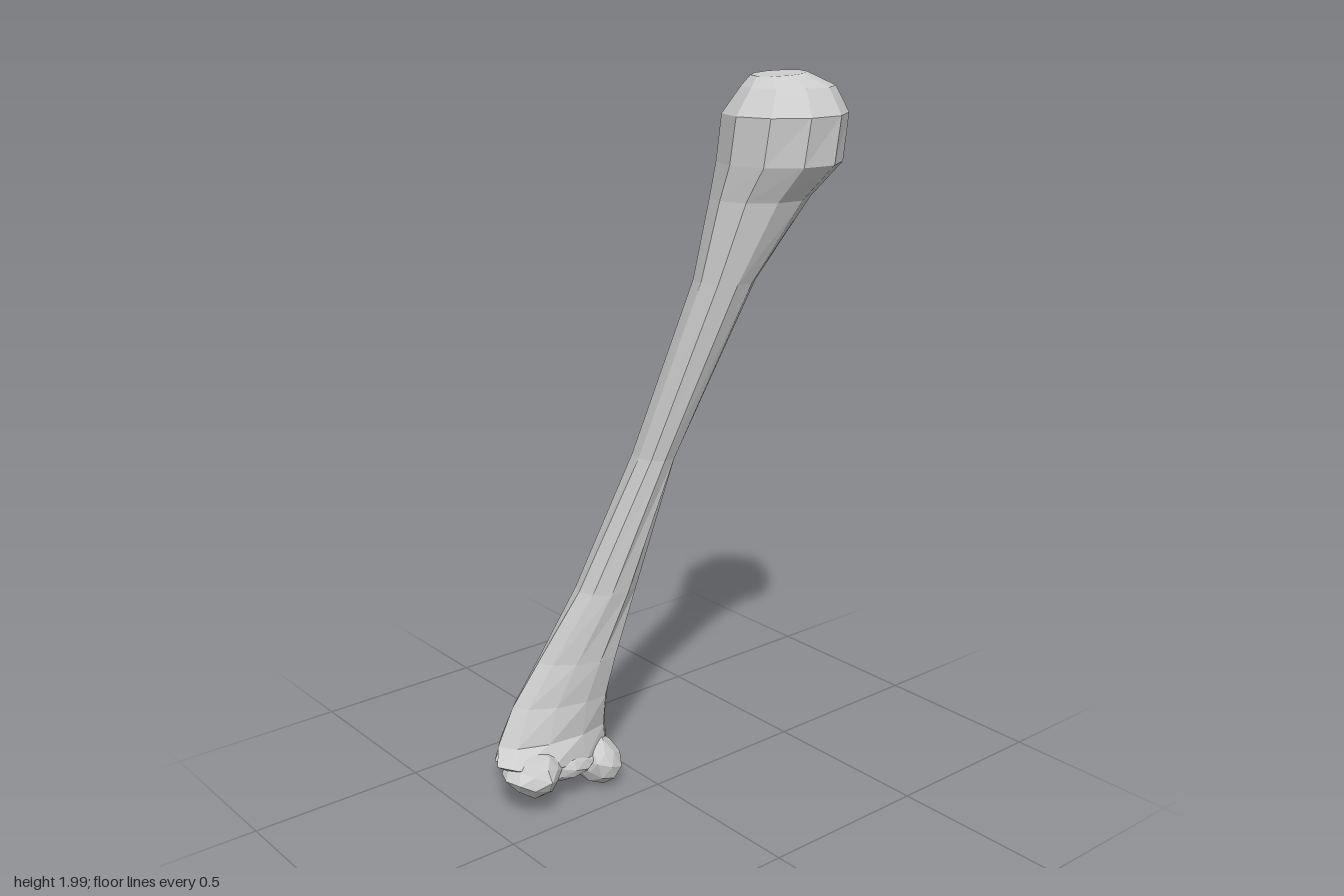
import * as THREE from 'three';
import { mergeVertices } from 'three/addons/utils/BufferGeometryUtils.js';

const SIDES = 10;
const material = new THREE.MeshStandardMaterial({ color: 0xcccccc, flatShading: true, side: THREE.DoubleSide });

// Skins a stack of skewed ellipses; each row is [y, xMin, xMax, zMin, zMax, skew in degrees, slope along x]
function loft(rows) {
  const pos = [], index = [];
  for (const [y, x0, x1, z0, z1, skew, slope] of rows) {
    for (let i = 0; i < SIDES; i++) {
      const t = (i / SIDES) * Math.PI * 2;
      const dx = Math.cos(t) * (x1 - x0) / 2;
      const dz = Math.cos(t - THREE.MathUtils.degToRad(skew)) * (z1 - z0) / 2;
      pos.push((x0 + x1) / 2 + dx, y + slope * dx, (z0 + z1) / 2 + dz);
    }
  }
  for (let r = 0; r < rows.length - 1; r++) {
    for (let i = 0; i < SIDES; i++) {
      const a = r * SIDES + i, b = r * SIDES + (i + 1) % SIDES;
      index.push(a, a + SIDES, b, b, a + SIDES, b + SIDES);
    }
  }
  // Close both ends with fans
  const last = (rows.length - 1) * SIDES;
  for (let i = 1; i < SIDES - 1; i++) {
    index.push(0, i, i + 1, last, last + i + 1, last + i);
  }
  const g = new THREE.BufferGeometry();
  g.setAttribute('position', new THREE.Float32BufferAttribute(pos, 3));
  g.setIndex(index);
  g.computeVertexNormals();
  return g;
}

// Irregular faceted lump filling a given size
function lump(size, seed, roughness) {
  let g = new THREE.IcosahedronGeometry(0.5, 1);
  g.deleteAttribute('normal');
  g.deleteAttribute('uv');
  g = mergeVertices(g, 1e-4);
  const p = g.attributes.position;
  for (let i = 0; i < p.count; i++) {
    seed = (seed * 16807) % 2147483647;
    const k = 1 + roughness * (seed / 2147483647 - 0.5);
    p.setXYZ(i, p.getX(i) * k * size[0], p.getY(i) * k * size[1], p.getZ(i) * k * size[2]);
  }
  g.computeVertexNormals();
  return g;
}

export function createModel() {
  const group = new THREE.Group();
  const add = (name, geometry, x = 0, y = 0, z = 0) => {
    const mesh = new THREE.Mesh(geometry, material);
    mesh.name = name;
    mesh.position.set(x, y, z);
    group.add(mesh);
    return mesh;
  };

  // Flared lower end, slanting shaft and rounded head in one skin
  add('boneShaftAndHead', loft([
    [0.09, -0.39, -0.07, -0.20, -0.09, 100, -0.22],
    [0.13, -0.455, -0.06, -0.225, -0.07, 100, -0.2],
    [0.20, -0.42, -0.08, -0.235, -0.09, 75, 0],
    [0.30, -0.365, -0.095, -0.215, -0.08, 55, 0],
    [0.42, -0.29, -0.08, -0.195, -0.06, 55, 0],
    [0.62, -0.185, -0.03, -0.165, -0.025, 75, 0],
    [1.00, -0.055, 0.06, -0.09, 0.05, 95, 0],
    [1.48, 0.045, 0.205, 0.035, 0.20, 90, 0],
    [1.69, 0.075, 0.33, 0.045, 0.28, 85, 0],
    [1.78, 0.08, 0.395, 0.045, 0.345, 85, 0],
    [1.90, 0.085, 0.42, 0.045, 0.35, 90, 0],
    [1.965, 0.14, 0.395, 0.08, 0.30, 90, 0],
    [1.995, 0.18, 0.33, 0.10, 0.235, 90, 0.06],
  ]));

  // Two knuckles of the lower joint
  add('outerKnuckle', lump([0.17, 0.12, 0.17], 11, 0.25), -0.35, 0.13, -0.115);
  add('middleKnuckle', lump([0.18, 0.09, 0.12], 5, 0.2), -0.24, 0.115, -0.12);
  const inner = add('innerKnuckle', lump([0.13, 0.16, 0.17], 23, 0.2), -0.125, 0.09, -0.135);
  inner.rotation.z = 0.3;

  // Loose fragment behind the lower joint
  add('looseFragment', lump([0.19, 0.115, 0.125], 41, 0.25), -0.265, 0.095, -0.285);

  // Small open shell beside the head
  const profile = [[0.045, -0.025], [0.075, -0.015], [0.105, 0.02]].map(([x, y]) => new THREE.Vector2(x, y));
  const shell = new THREE.LatheGeometry(profile, 8);
  shell.rotateX(Math.PI / 2);
  shell.scale(1, 0.62, 1);
  add('sideShell', shell, 0.39, 1.835, 0.075).rotation.set(0, 2.25, 0);

  return group;
}
